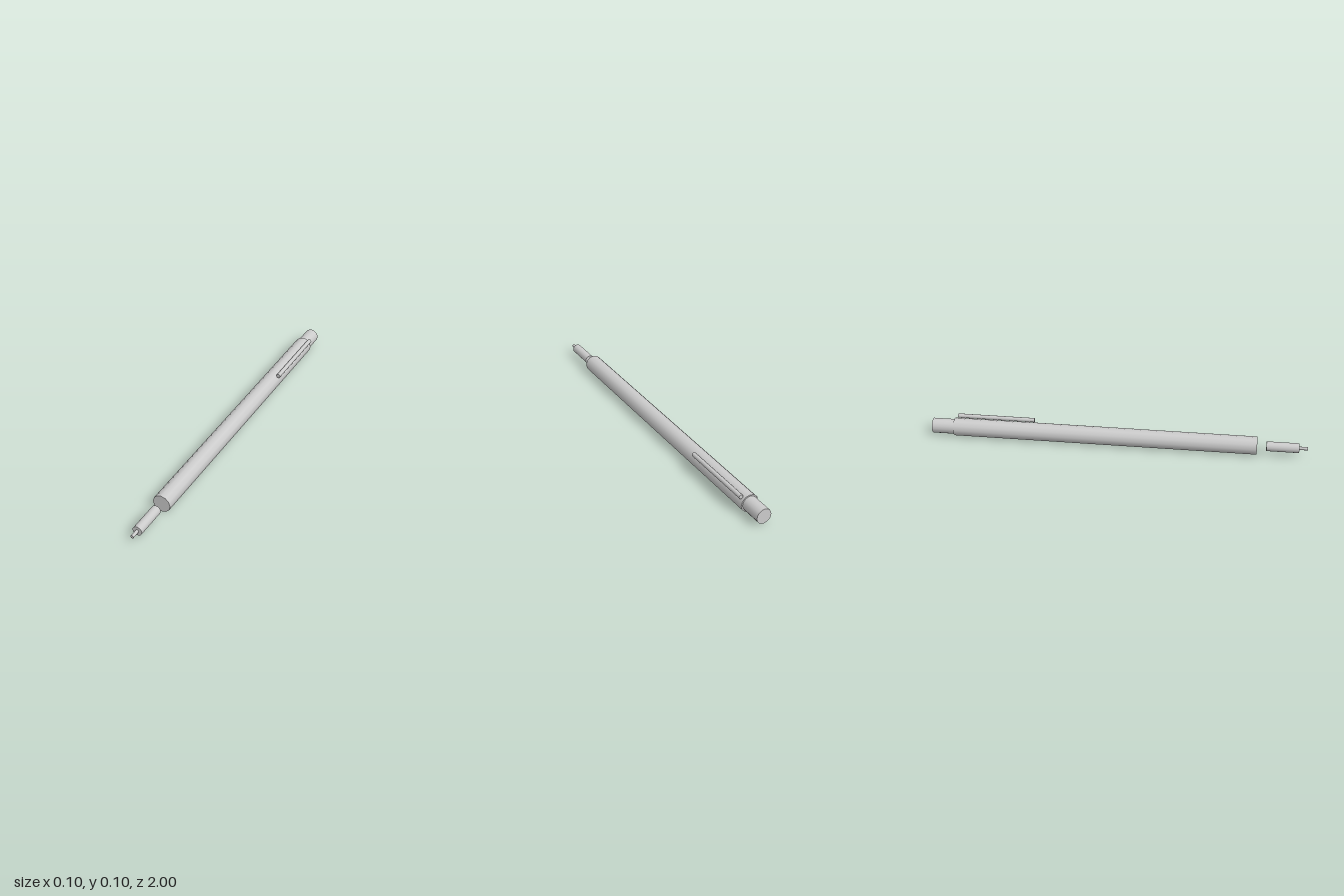
import * as THREE from 'three';

export function createModel() {
  const group = new THREE.Group();
  const material = new THREE.MeshStandardMaterial({ color: 0xcccccc });
  const axisX = -0.0036, axisY = 0.0475;

  // Closed rod running along z between two ends
  function rod(name, radius, zBack, zFront, sides, x = axisX, y = axisY) {
    const geometry = new THREE.CylinderGeometry(radius, radius, zFront - zBack, sides);
    geometry.rotateX(Math.PI / 2);
    const mesh = new THREE.Mesh(geometry, material);
    mesh.name = name;
    mesh.position.set(x, y, (zBack + zFront) / 2);
    group.add(mesh);
  }

  rod('barrel', 0.0475, -0.882, 0.737, 12);
  rod('pushButton', 0.04, -1, -0.87, 16);
  // Tip sleeve sits just ahead of the barrel, separated by a small gap
  rod('tipSleeve', 0.0255, 0.786, 0.955, 16);
  rod('lead', 0.0088, 0.945, 1, 10);
  // Pocket clip on the upper left side
  rod('clip', 0.0115, -0.872, -0.452, 12, 0.0395, 0.0925);

  return group;
}
